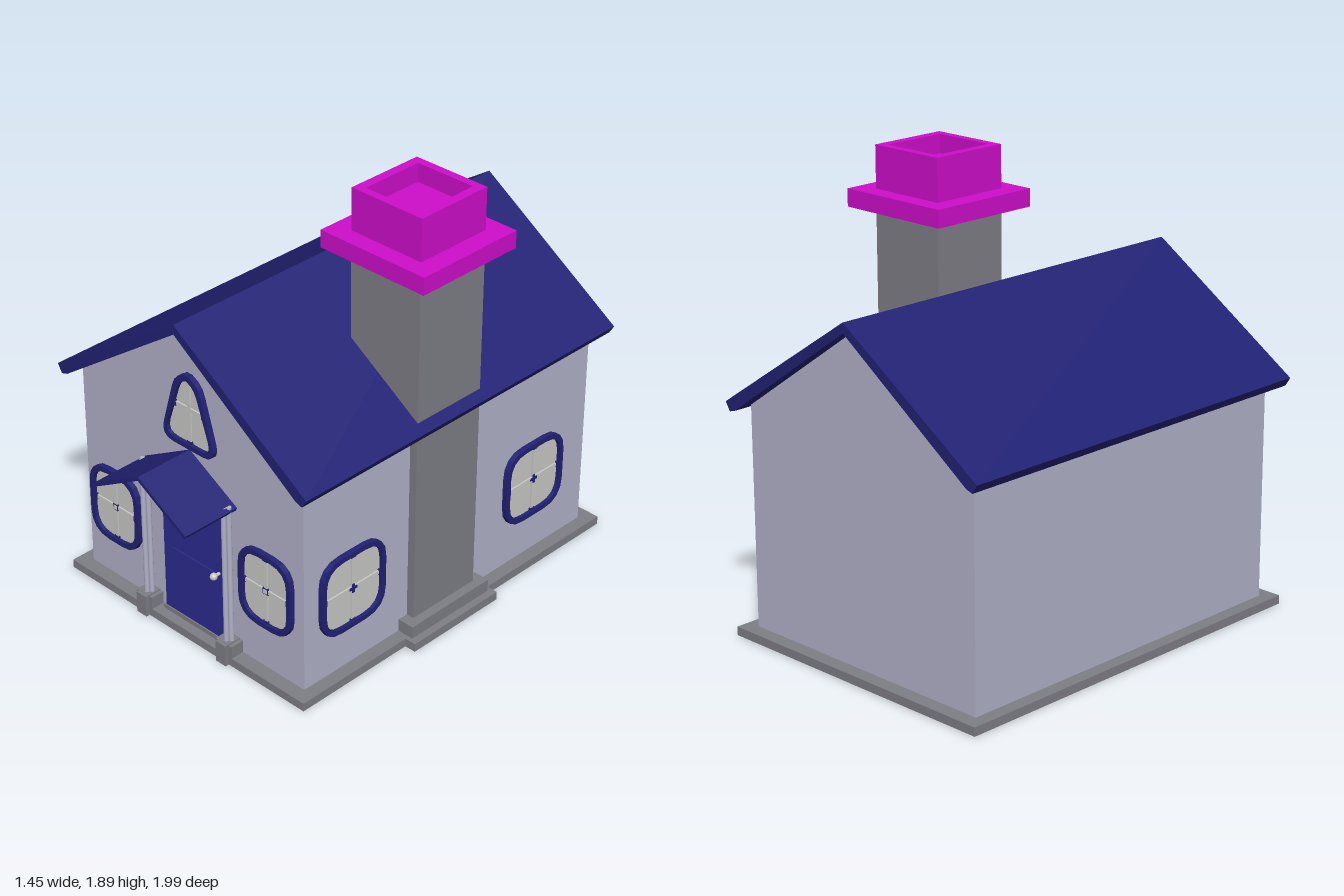
import * as THREE from 'three';

const mat = (name, color) => {
  const m = new THREE.MeshStandardMaterial({ color });
  m.name = name;
  return m;
};

export function createModel() {
  const wall = mat('lilac plaster', 0xb2b2ca);
  const navy = mat('navy roof and trim', 0x212174);
  const doorBlue = mat('door blue', 0x2b2b90);
  const stone = mat('grey stone', 0x7e7e86);
  const glass = mat('pale glass', 0xc9c9c7);
  const magenta = mat('magenta chimney pot', 0xce0ecb);

  const house = new THREE.Group();
  house.name = 'house';

  const add = (parent, name, geo, material, x = 0, y = 0, z = 0) => {
    const mesh = new THREE.Mesh(geo, material);
    mesh.name = name;
    mesh.position.set(x, y, z);
    parent.add(mesh);
    return mesh;
  };
  // Box given by its centre in x and z, and its bottom and top in y
  const block = (parent, name, material, w, d, y0, y1, x = 0, z = 0) =>
    add(parent, name, new THREE.BoxGeometry(w, y1 - y0, d), material, x, (y0 + y1) / 2, z);
  const polygon = (pts) => new THREE.Shape(pts.map(([x, y]) => new THREE.Vector2(x, y)));
  const extrude = (shape, depth) =>
    new THREE.ExtrudeGeometry(shape, { depth, bevelEnabled: false, curveSegments: 4 });

  // Closed outline with each corner cut by a curve of radius r
  const rounded = (pts, r, Type = THREE.Shape) => {
    const s = new Type();
    const v = pts.map(([x, y]) => new THREE.Vector2(x, y));
    v.forEach((p, i) => {
      const toward = (q) => p.clone().add(q.clone().sub(p).setLength(r));
      const a = toward(v[(i + v.length - 1) % v.length]);
      const b = toward(v[(i + 1) % v.length]);
      if (i === 0) s.moveTo(a.x, a.y);
      else s.lineTo(a.x, a.y);
      s.quadraticCurveTo(p.x, p.y, b.x, b.y);
    });
    s.closePath();
    return s;
  };
  // Four-sided outline, widths at bottom and top
  const quad = (bottom, top, h) => [
    [-bottom / 2, -h / 2], [bottom / 2, -h / 2], [top / 2, h / 2], [-top / 2, h / 2],
  ];

  // Walls with gable ends
  add(house, 'walls', extrude(polygon([
    [-0.6175, 0], [0.6175, 0], [0.6175, 0.975], [0, 1.405], [-0.6175, 0.975],
  ]), 1.645), wall, 0, 0, -0.8225);

  // Stone footing
  block(house, 'footing', stone, 1.35, 1.77, 0.003, 0.04);
  block(house, 'chimneyFooting', stone, 0.5, 0.49, 0.003, 0.04, 0.476, 0.067);

  // Main roof
  const halfRoof = [[0.695, 0.985], [0.672, 0.948], [0.64, 0.958]];
  const mirrored = halfRoof.map(([x, y]) => [-x, y]).reverse();
  add(house, 'roof', extrude(polygon([
    [0, 1.445], ...mirrored.reverse(), [0, 1.403], ...halfRoof.slice().reverse(),
  ]), 1.77), navy, 0, 0, -0.885);

  // Chimney shaft with collar and hollow pot
  const chimney = new THREE.Group();
  chimney.name = 'chimney';
  chimney.position.set(0.476, 0, 0.067);
  house.add(chimney);
  block(chimney, 'chimneyPlinth', stone, 0.435, 0.45, 0.04, 0.095);
  block(chimney, 'chimneyShaft', stone, 0.355, 0.355, 0.04, 1.64);
  block(chimney, 'chimneyCollar', magenta, 0.525, 0.51, 1.635, 1.71);
  block(chimney, 'chimneyPotFloor', magenta, 0.3, 0.3, 1.7, 1.81);
  const potShape = polygon(quad(0.355, 0.355, 0.355));
  potShape.holes.push(polygon(quad(0.275, 0.275, 0.285)));
  add(chimney, 'chimneyPot', extrude(potShape, 0.18), magenta, 0, 1.71, 0).rotation.x = -Math.PI / 2;

  // Window: rim, pane, glazing bars and small trim pieces
  const makeWindow = (name, bottom, top, h, radius, barY) => {
    const g = new THREE.Group();
    g.name = name;
    const t = 0.022;
    const rim = rounded(quad(bottom, top, h), radius);
    const inner = quad(bottom - 2 * t, top - 2 * t, h - 2 * t);
    rim.holes.push(rounded(inner, radius * 0.85, THREE.Path));
    add(g, 'windowRim', extrude(rim, 0.024), navy);
    add(g, 'windowPane', extrude(rounded(inner, radius * 0.85), 0.008), glass);
    const w = THREE.MathUtils.lerp(bottom, top, barY / h + 0.5) - 2 * t;
    add(g, 'verticalBar', new THREE.BoxGeometry(0.016, h - 2 * t, 0.01), glass, 0, 0, 0.01);
    add(g, 'horizontalBar', new THREE.BoxGeometry(w, 0.016, 0.01), glass, 0, barY, 0.01);
    for (const s of [-1, 1]) {
      add(g, 'barEnd', new THREE.BoxGeometry(0.026, 0.012, 0.012), navy, 0, s * (h / 2 - t - 0.004), 0.012);
      add(g, 'barEnd', new THREE.BoxGeometry(0.012, 0.026, 0.012), navy, s * (w / 2 - 0.004), barY, 0.012);
    }
    return g;
  };
  const place = (g, x, y, z, turn = 0) => {
    g.position.set(x, y, z);
    g.rotation.y = turn;
    house.add(g);
    return g;
  };
  const front = 0.8225;
  for (const [x, y] of [[-0.441, 0.393], [0.424, 0.418]]) {
    const g = place(makeWindow('frontWindow', 0.287, 0.287, 0.345, 0.105, 0), x, y, front);
    add(g, 'barCentre', new THREE.BoxGeometry(0.028, 0.028, 0.012), navy, 0, 0, 0.01);
    add(g, 'barCentreStud', new THREE.BoxGeometry(0.018, 0.018, 0.008), glass, 0, 0, 0.015);
  }
  for (const z of [0.57, -0.493]) {
    const g = place(makeWindow('sideWindow', 0.35, 0.35, 0.353, 0.11, 0), 0.6175, 0.402, z, Math.PI / 2);
    add(g, 'barCentre', new THREE.BoxGeometry(0.04, 0.012, 0.012), navy, 0, 0, 0.012);
    add(g, 'barCentre', new THREE.BoxGeometry(0.012, 0.04, 0.012), navy, 0, 0, 0.012);
  }
  place(makeWindow('atticWindow', 0.31, 0.115, 0.33, 0.075, 0.01), 0.018, 1.05, front);

  // Front door with two raised panels and a knob
  const door = new THREE.Group();
  door.name = 'frontDoor';
  door.position.set(0.018, 0, front);
  house.add(door);
  block(door, 'doorLeaf', doorBlue, 0.34, 0.03, 0.06, 0.69);
  block(door, 'doorSill', stone, 0.36, 0.04, 0.035, 0.06);
  for (const y of [0.2225, 0.5375]) {
    add(door, 'doorPanel', extrude(rounded(quad(0.29, 0.29, 0.29), 0.04), 0.006), doorBlue, 0, y, 0.014);
  }
  add(door, 'doorKnobStem', new THREE.CylinderGeometry(0.007, 0.007, 0.035, 10), glass, 0.148, 0.372, 0.028)
    .rotation.x = Math.PI / 2;
  add(door, 'doorKnob', new THREE.SphereGeometry(0.016, 14, 10), glass, 0.148, 0.372, 0.045);

  // Porch: clustered posts on stone plinths, and a thin gabled roof
  for (const x of [-0.232, 0.232]) {
    block(house, 'postPlinth', stone, 0.09, 0.065, 0.003, 0.095, x, front + 0.03);
    block(house, 'postPlinthFront', stone, 0.056, 0.08, 0.003, 0.1, x, front + 0.04);
    for (const [dx, dz] of [[-0.012, 0.03], [0.012, 0.03], [0, 0.046]]) {
      add(house, 'porchPost', new THREE.CylinderGeometry(0.011, 0.011, 0.64, 12), wall, x + dx, 0.41, front + dz);
    }
  }
  add(house, 'porchRoof', extrude(polygon([
    [0, 0.865], [-0.26, 0.718], [-0.252, 0.703], [0, 0.848], [0.252, 0.703], [0.26, 0.718],
  ]), 0.27), navy, 0, 0, front - 0.002);

  // The house stands at a slight turn
  house.rotation.y = -0.0165;
  house.position.set(-0.02, 0, -0.1);
  const model = new THREE.Group();
  model.name = 'cottage';
  model.add(house);
  return model;
}
